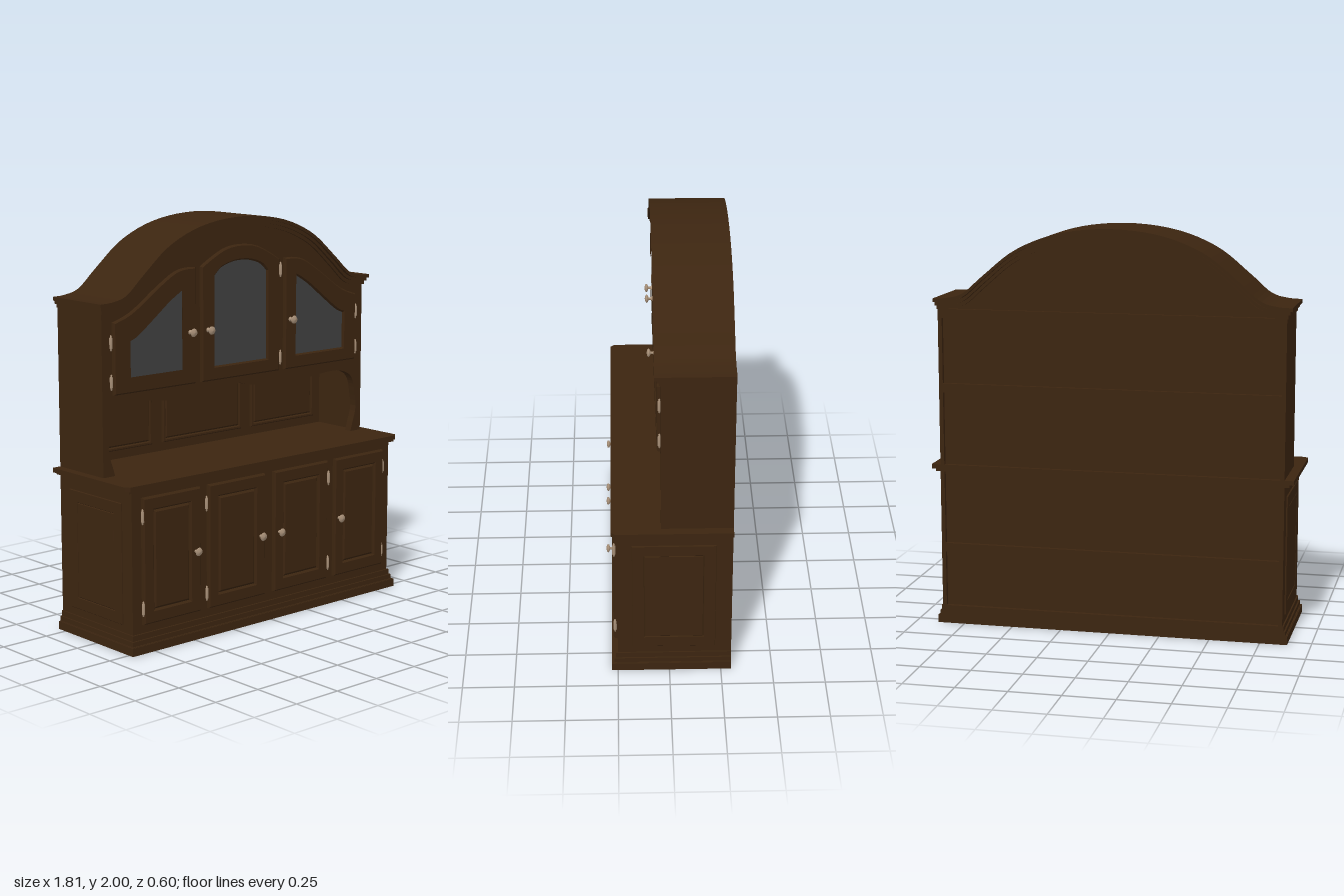
import * as THREE from 'three';

const material = (name, color) => new THREE.MeshStandardMaterial({ name, color });
const V = (x, y) => new THREE.Vector2(x, y);

export function createModel() {
  const model = new THREE.Group();
  model.name = 'dresserCabinet';
  const wood = material('dark wood', 0x3c2510);
  const glass = material('smoked glass', 0x404040);
  const metal = material('aged metal', 0xa89078);

  const add = (name, geometry, mat, parent = model) => {
    const mesh = new THREE.Mesh(geometry, mat);
    mesh.name = name;
    parent.add(mesh);
    return mesh;
  };

  // Box given by its limits
  const box = (name, x0, x1, y0, y1, z0, z1, mat = wood) => {
    const g = new THREE.BoxGeometry(x1 - x0, y1 - y0, z1 - z0);
    g.translate((x0 + x1) / 2, (y0 + y1) / 2, (z0 + z1) / 2);
    return add(name, g, mat);
  };

  // Outline extruded from z0 to z1, with an optional hole and a bevel on the front
  const slab = (name, pts, z0, z1, { hole, bevel = 0, mat = wood, parent = model } = {}) => {
    const shape = new THREE.Shape(pts);
    if (hole) shape.holes.push(new THREE.Path(hole));
    const g = new THREE.ExtrudeGeometry(shape, {
      depth: z1 - z0 - bevel, bevelEnabled: bevel > 0, bevelThickness: bevel,
      bevelSize: bevel, bevelOffset: -bevel, bevelSegments: 1,
    });
    g.translate(0, 0, z0);
    return add(name, g, mat, parent);
  };
  const rect = (x0, x1, y0, y1) => [V(x0, y0), V(x1, y0), V(x1, y1), V(x0, y1)];
  const smooth = (pts, n = 16) => new THREE.SplineCurve(pts.map(p => V(...p))).getPoints(n);
  const mirror = pts => pts.map(p => V(-p.x, p.y));

  // Panel with a moulded frame and a raised field, facing +z
  const raisedPanel = (name, x0, x1, y0, y1, z, t, m) => {
    const group = new THREE.Group();
    group.name = name;
    const opt = { parent: group };
    slab(name + 'Frame', rect(x0, x1, y0, y1), z, z + t,
      { ...opt, hole: rect(x0 + m, x1 - m, y0 + m, y1 - m), bevel: t * 0.35 });
    slab(name + 'Field', rect(x0 + m, x1 - m, y0 + m, y1 - m), z, z + t * 0.8, { ...opt, bevel: t * 0.6 });
    model.add(group);
    return group;
  };

  // Arched skyline, narrowed to half width hw and lowered by drop
  const half = [[-0.885, 1.645], [-0.81, 1.65], [-0.73, 1.675], [-0.625, 1.765], [-0.465, 1.89], [-0.255, 1.972]];
  const skyline = smooth([...half, [0, 2], ...half.map(([x, y]) => [-x, y]).reverse()], 56);
  const arch = (hw, drop) => skyline.map(p => V(p.x * hw / 0.885, p.y - drop));

  // Plinth: hollow foot with stepped moulding above
  box('plinthFront', -0.885, 0.885, 0, 0.04, 0.25, 0.28);
  box('plinthBack', -0.885, 0.885, 0, 0.04, -0.3, -0.28);
  for (const s of [-1, 1]) {
    box('plinthSide', Math.min(s * 0.855, s * 0.885), Math.max(s * 0.855, s * 0.885), 0, 0.04, -0.28, 0.25);
  }
  for (const [y0, y1, hw, zf] of [[0.03, 0.042, 0.88, 0.275], [0.042, 0.065, 0.875, 0.268], [0.065, 0.092, 0.867, 0.259]]) {
    box('plinthMoulding', -hw, hw, y0, y1, -0.3, zf);
  }

  // Lower cabinet and worktop
  box('lowerCabinet', -0.86, 0.86, 0.092, 0.79, -0.28, 0.25);
  box('worktopMoulding', -0.885, 0.885, 0.782, 0.796, -0.3, 0.262);
  const c = 0.02;
  const top = slab('worktop', [V(-0.905, -0.3), V(0.905, -0.3), V(0.905, 0.275 - c), V(0.905 - c, 0.275),
    V(c - 0.905, 0.275), V(-0.905, 0.275 - c)].map(p => V(p.x, -p.y)), 0, 0.022);
  top.rotation.x = -Math.PI / 2;
  top.position.y = 0.794;

  // Lower doors
  for (const s of [-1, 1]) {
    for (const [a, b] of [[0.03, 0.4], [0.452, 0.805]]) {
      raisedPanel('lowerDoor', Math.min(s * a, s * b), Math.max(s * a, s * b), 0.135, 0.75, 0.25, 0.02, 0.065);
    }
    // Side panel: local x runs along the depth
    const side = raisedPanel('lowerSidePanel', -0.2, 0.2, 0.13, 0.72, 0, 0.007, 0.058);
    side.rotation.y = s * Math.PI / 2;
    side.position.set(s * 0.86, 0, -0.022);
  }

  // Side boards of the upper part and rear edges of the lower sides
  for (const s of [-1, 1]) {
    const a = Math.min(s * 0.84, s * 0.86), b = Math.max(s * 0.84, s * 0.86);
    box('upperSide', a, b, 0.815, 1.6, -0.3, 0.005);
    box('lowerSideEdge', a, b, 0.09, 0.79, -0.3, -0.28);
  }

  // Upper case, recess back and rear rails
  slab('upperCase', [V(-0.85, 1.19), V(0.85, 1.19), ...arch(0.85, 0.03).reverse()], -0.28, 0);
  box('recessBack', -0.84, 0.84, 0.815, 1.19, -0.28, -0.25);
  for (const y of [0.37, 1.18, 1.55]) box('rearRail', -0.84, 0.84, y, y + 0.045, -0.3, -0.28);

  // Face frame with shaped posts and a scalloped valance over the recess
  const inner = smooth([[0.79, 0.815], [0.8, 0.85], [0.826, 0.94], [0.815, 1.03], [0.8, 1.09], [0.765, 1.13],
    [0.68, 1.155], [0.55, 1.15], [0.42, 1.135], [0.3, 1.135], [0.2, 1.145], [0.08, 1.15], [0, 1.172]], 40);
  slab('faceFrame', [V(0.86, 0.815), ...inner, ...mirror(inner).reverse().slice(1),
    V(-0.86, 0.815), ...arch(0.86, 0.03)], 0, 0.04);

  // Arched cornice in stepped layers
  for (const [hw, t0, t1, zf] of [[0.885, 0, 0.018, 0.07], [0.875, 0.016, 0.034, 0.06], [0.866, 0.032, 0.052, 0.05]]) {
    slab('cornice', [...arch(hw, t0), ...arch(hw, t1).reverse()], -0.3, zf);
  }

  // Panels at the back of the recess
  for (const [a, b] of [[-0.785, -0.333], [-0.265, 0.265], [0.333, 0.785]]) {
    raisedPanel('recessPanel', a, b, 0.86, 1.13, -0.25, 0.014, 0.018);
  }

  // Glazed doors
  const glazedDoor = (name, outer, pane) => {
    slab(name, outer, 0.04, 0.058, { hole: pane, bevel: 0.007 });
    slab(name + 'Glass', pane, 0.041, 0.046, { mat: glass });
  };
  const doorTop = smooth([[0.8, 1.55], [0.69, 1.59], [0.54, 1.69], [0.43, 1.755], [0.36, 1.772], [0.295, 1.772]]);
  const paneTop = smooth([[0.71, 1.46], [0.66, 1.482], [0.56, 1.555], [0.46, 1.63], [0.375, 1.68]]);
  const sideDoor = [V(0.295, 1.205), V(0.8, 1.205), ...doorTop];
  const sidePane = [V(0.375, 1.275), V(0.71, 1.275), ...paneTop];
  glazedDoor('leftDoor', sideDoor, sidePane);
  glazedDoor('rightDoor', mirror(sideDoor), mirror(sidePane));
  const midTop = smooth([[0.258, 1.77], [0.2, 1.805], [0.1, 1.85], [0, 1.862], [-0.1, 1.85], [-0.2, 1.805], [-0.258, 1.77]]);
  const midPane = smooth([[0.173, 1.72], [0.13, 1.758], [0.06, 1.78], [0, 1.785], [-0.06, 1.78], [-0.13, 1.758], [-0.173, 1.72]]);
  glazedDoor('centreDoor', [V(-0.258, 1.205), V(0.258, 1.205), ...midTop], [V(-0.173, 1.275), V(0.173, 1.275), ...midPane]);

  // Knobs
  const knob = new THREE.LatheGeometry([[0.012, 0], [0.011, 0.004], [0.006, 0.008], [0.006, 0.018], [0.017, 0.023],
    [0.021, 0.028], [0.017, 0.034], [0, 0.038]].map(p => V(...p)), 16).rotateX(Math.PI / 2);
  for (const [x, y, z] of [[-0.335, 1.46, 0.058], [-0.22, 1.46, 0.058], [0.33, 1.46, 0.058],
    [-0.485, 0.44, 0.264], [-0.065, 0.44, 0.264], [0.062, 0.44, 0.264], [0.48, 0.44, 0.264]]) {
    add('knob', knob, metal).position.set(x, y, z);
  }

  // Hinges: a barrel with pointed ends
  const hinge = new THREE.LatheGeometry([[0, -0.04], [0.005, -0.034], [0.004, -0.028], [0.008, -0.024],
    [0.008, 0.024], [0.004, 0.028], [0.005, 0.034], [0, 0.04]].map(p => V(...p)), 10);
  const hinges = [[0.272, 1.715, 0.046], [0.272, 1.27, 0.046]];
  for (const s of [-1, 1]) {
    for (const y of [1.455, 1.268]) hinges.push([s * 0.81, y, 0.046]);
    for (const x of [0.41, 0.805]) for (const y of [0.66, 0.213]) hinges.push([s * x, y, 0.262]);
  }
  for (const p of hinges) add('hinge', hinge, metal).position.set(...p);

  return model;
}
